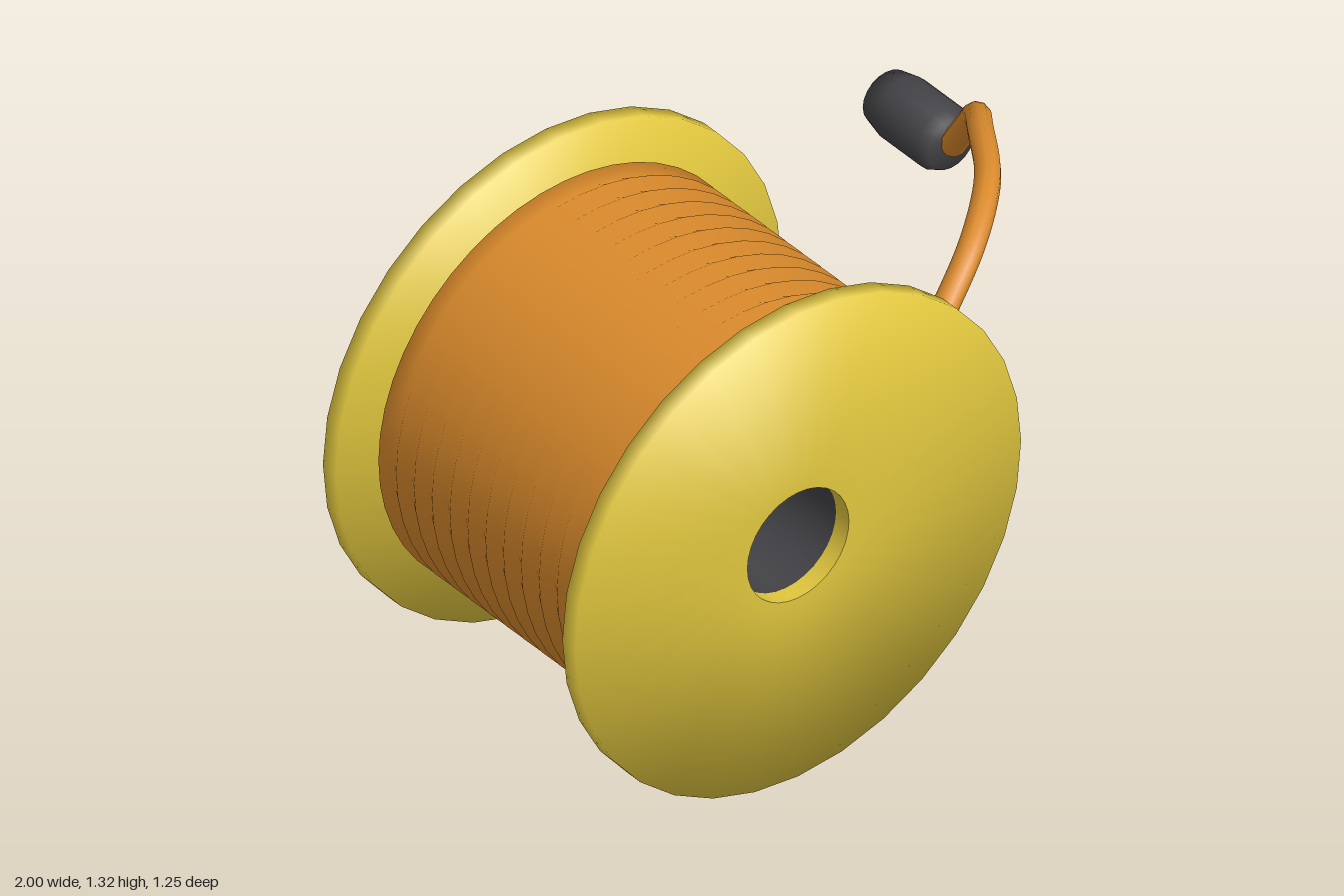
import * as THREE from 'three';

const yellow = new THREE.MeshStandardMaterial({ color: 0xe0c63e });
yellow.name = 'flangeYellow';
const orange = new THREE.MeshStandardMaterial({ color: 0xdb8b2c, side: THREE.DoubleSide });
orange.name = 'cableOrange';
const dark = new THREE.MeshStandardMaterial({ color: 0x434347 });
dark.name = 'darkGrey';

// Lathe about z from [radius, z] pairs; each corner normal is the even average of its two sides
function turned(name, profile, segments, material) {
  const points = profile.map(([r, z]) => new THREE.Vector2(r, z));
  const geometry = new THREE.LatheGeometry(points, segments);
  const sides = points.slice(1).map((p, i) => {
    const d = p.clone().sub(points[i]).normalize();
    return new THREE.Vector2(d.y, -d.x);
  });
  const normals = points.map((p, j) => {
    const n = new THREE.Vector2();
    if (j > 0) n.add(sides[j - 1]);
    if (j < sides.length) n.add(sides[j]);
    return n.normalize();
  });
  for (let i = 0; i <= segments; i++) {
    const a = (i / segments) * Math.PI * 2;
    normals.forEach((n, j) =>
      geometry.attributes.normal.setXYZ(i * normals.length + j, n.x * Math.sin(a), n.y, n.x * Math.cos(a)));
  }
  geometry.rotateX(Math.PI / 2);
  const mesh = new THREE.Mesh(geometry, material);
  mesh.name = name;
  return mesh;
}

export function createModel() {
  const model = new THREE.Group();
  model.name = 'cableReel';

  const reel = new THREE.Group();
  reel.name = 'reel';
  reel.position.set(-0.342, 0.658, 0);
  model.add(reel);

  // Two flange discs, each with a bore
  const R = 0.658, bore = 0.15;
  for (const [name, z0, z1] of [['frontFlange', 0.575, 0.623], ['backFlange', -0.31, -0.262]]) {
    reel.add(turned(name, [[bore, z0], [R, z0], [R, z1], [bore, z1]], 32, yellow));
    reel.add(turned(name + 'Bore', [[bore, z1], [bore, z0]], 32, yellow));
  }

  // Hollow core seen through the bores
  reel.add(turned('core', [[bore, 0.575], [bore, -0.262]], 32, dark));

  // Wound cable: ridged drum with shallow cone ends
  const profile = [[bore, -0.262], [0.25, -0.262]];
  const turns = 12, zMin = -0.24, zMax = 0.552;
  for (let i = 0; i <= turns * 2; i++) {
    profile.push([i % 2 ? 0.53 : 0.55, zMin + (zMax - zMin) * i / (turns * 2)]);
  }
  profile.push([0.25, 0.575], [bore, 0.575]);
  reel.add(turned('woundCable', profile, 48, orange));

  // Loose end of the cable
  const path = new THREE.CatmullRomCurve3([
    [0.19, 0.81, 0.4], [0.29, 0.9, 0.37], [0.42, 0.99, 0.31], [0.57, 1.03, 0.18],
    [0.71, 1.0, -0.02], [0.81, 0.92, -0.16], [0.87, 0.8, -0.27], [0.92, 0.66, -0.385],
  ].map((p) => new THREE.Vector3(...p)));
  const cable = new THREE.Mesh(new THREE.TubeGeometry(path, 48, 0.032, 10), orange);
  cable.name = 'looseCable';
  model.add(cable);

  // Plug at the end of the cable
  const plug = turned('plug', [
    [0, -0.625], [0.07, -0.625], [0.083, -0.565], [0.083, -0.415], [0.068, -0.385], [0, -0.385],
  ], 20, dark);
  plug.position.set(0.915, 0.662, 0);
  model.add(plug);

  return model;
}
